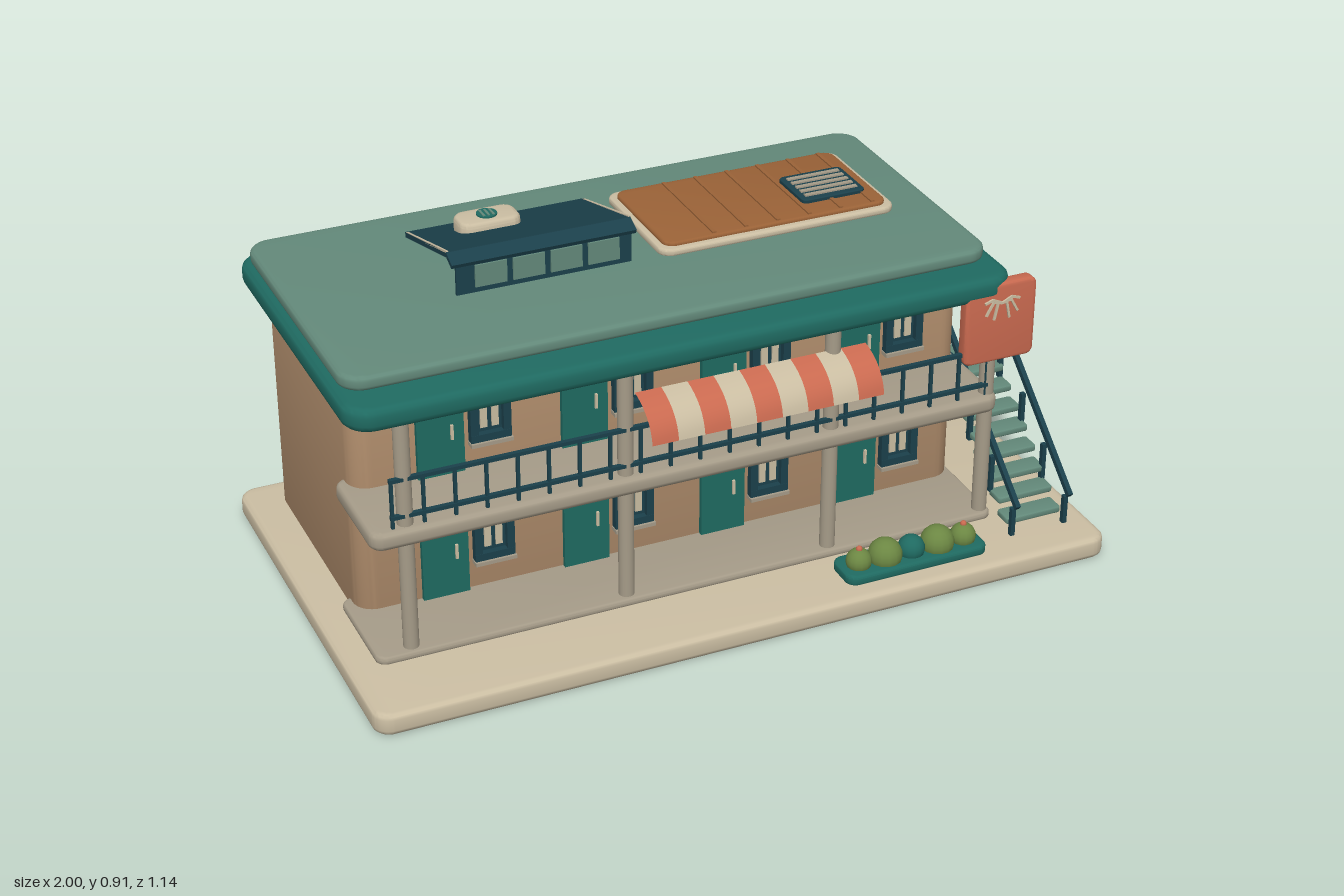
import * as THREE from 'three';
import { toCreasedNormals } from 'three/addons/utils/BufferGeometryUtils.js';

const mat = (name, color, side = THREE.FrontSide) => {
  const m = new THREE.MeshStandardMaterial({ color, side });
  m.name = name;
  return m;
};

export function createModel() {
  const root = new THREE.Group();
  root.name = 'motel';
  const cream = mat('cream', 0xcabda2, THREE.DoubleSide);
  const wall = mat('tan wall', 0xb08d6c);
  const concrete = mat('concrete', 0xa59b88);
  const sage = mat('sage', 0x63897a);
  const teal = mat('teal', 0x1f6a61);
  const navy = mat('navy', 0x1b404b);
  const coral = mat('coral', 0xca6a50, THREE.DoubleSide);
  const wood = mat('wood', 0x9a6237);
  const leaf = mat('leaf', 0x6c8743);

  const add = (name, geo, m, x = 0, y = 0, z = 0, parent = root) => {
    const mesh = new THREE.Mesh(geo, m);
    mesh.name = name;
    mesh.position.set(x, y, z);
    parent.add(mesh);
    return mesh;
  };
  const box = (name, m, x0, x1, y0, y1, z0, z1) =>
    add(name, new THREE.BoxGeometry(x1 - x0, y1 - y0, z1 - z0), m, (x0 + x1) / 2, (y0 + y1) / 2, (z0 + z1) / 2);

  // Rounded rectangle with softened rims, extruded along +z
  const roundedGeo = (w, d, h, r, b) => {
    const W = w / 2 - b, D = d / 2 - b, s = new THREE.Shape();
    s.absarc(W - r, D - r, r, 0, Math.PI / 2);
    s.absarc(-W + r, D - r, r, Math.PI / 2, Math.PI);
    s.absarc(-W + r, -D + r, r, Math.PI, Math.PI * 1.5);
    s.absarc(W - r, -D + r, r, Math.PI * 1.5, Math.PI * 2);
    s.closePath();
    const g = new THREE.ExtrudeGeometry(s, { depth: h - 2 * b, bevelThickness: b, bevelSize: b, bevelSegments: 3, curveSegments: 6 });
    g.translate(0, 0, b);
    return toCreasedNormals(g, 0.6);
  };
  const slab = (name, m, x0, x1, y0, y1, z0, z1, r, b) =>
    add(name, roundedGeo(x1 - x0, z1 - z0, y1 - y0, r, b).rotateX(-Math.PI / 2), m, (x0 + x1) / 2, y0, (z0 + z1) / 2);

  // Straight bar from point a to point b
  const bar = (name, m, a, b, w, t) => {
    const A = new THREE.Vector3(...a), B = new THREE.Vector3(...b);
    const mesh = add(name, new THREE.BoxGeometry(w, t, A.distanceTo(B)), m);
    mesh.position.copy(A).lerp(B, 0.5);
    mesh.lookAt(B);
    return mesh;
  };

  // Main masses
  slab('groundSlab', cream, -1, 1, 0, 0.06, -0.57, 0.57, 0.03, 0.015);
  slab('walls', wall, -0.9, 0.765, 0.055, 0.72, -0.515, 0.15, 0.05, 0.005);
  slab('porchFloor', concrete, -0.925, 0.77, 0.055, 0.078, 0.07, 0.365, 0.02, 0.008);
  slab('balconyFloor', concrete, -0.925, 0.77, 0.38, 0.428, 0.07, 0.368, 0.02, 0.015);
  slab('roofFascia', teal, -0.962, 0.803, 0.703, 0.765, -0.547, 0.363, 0.05, 0.02);
  slab('roofTop', sage, -0.94, 0.78, 0.762, 0.8, -0.532, 0.265, 0.05, 0.012);

  // Posts
  for (const x of [-0.83, -0.26, 0.3, 0.745])
    add('porchPost', new THREE.CylinderGeometry(0.02, 0.02, 0.64, 16), concrete, x, 0.385, 0.333);

  // Balcony railing
  for (const y of [0.457, 0.558]) box('balconyRail', navy, -0.87, 0.745, y - 0.005, y + 0.005, 0.34, 0.352);
  for (let i = 0; i <= 20; i++) {
    const x = -0.865 + i * 0.08;
    box('baluster', navy, x - 0.004, x + 0.004, 0.428, 0.556, 0.341, 0.35);
  }

  // Rooms: door, lamp and window on both floors
  for (const y of [0.078, 0.42]) for (let i = 0; i < 4; i++) {
    const x = -0.735 + i * 0.379, c = x + 0.19;
    box('door', teal, x, x + 0.122, y, y + 0.257, 0.145, 0.163);
    box('doorHandle', cream, x + 0.086, x + 0.093, y + 0.105, y + 0.145, 0.16, 0.17);
    box('doorLamp', cream, x + 0.1, x + 0.125, y + 0.257, y + 0.27, 0.145, 0.175);
    const w = y + 0.15;
    for (const s of [-1, 1]) {
      box('windowJamb', navy, c + s * 0.043 - 0.01, c + s * 0.043 + 0.01, w - 0.067, w + 0.067, 0.145, 0.17);
      box('windowHead', navy, c - 0.053, c + 0.053, w + s * 0.058 - 0.01, w + s * 0.058 + 0.01, 0.145, 0.171);
      box('windowPane', cream, c + s * 0.015 - 0.009, c + s * 0.015 + 0.009, w - 0.036, w + 0.036, 0.15, 0.159);
    }
    box('windowGlass', navy, c - 0.04, c + 0.04, w - 0.055, w + 0.055, 0.145, 0.154);
    box('windowSill', concrete, c - 0.055, c + 0.055, w - 0.078, w - 0.068, 0.145, 0.178);
  }

  // Striped awning, bent along a curve
  const curve = new THREE.QuadraticBezierCurve(new THREE.Vector2(0.335, 0.648), new THREE.Vector2(0.43, 0.63), new THREE.Vector2(0.442, 0.555));
  const stripeW = 0.625 / 9;
  for (let i = 0; i < 9; i++) {
    const g = new THREE.PlaneGeometry(stripeW, 1, 1, 8), p = g.attributes.position;
    for (let k = 0; k < p.count; k++) {
      const q = curve.getPoint(0.5 - p.getY(k));
      p.setXYZ(k, p.getX(k), q.y, q.x);
    }
    g.computeVertexNormals();
    add('awningStripe', g, i % 2 ? cream : coral, -0.235 + (i + 0.5) * stripeW);
  }

  // Hanging sign with a palm motif
  add('signBoard', roundedGeo(0.2, 0.22, 0.037, 0.012, 0.008), coral, 0.76, 0.638, 0.325);
  for (const s of [-1, 1]) for (const [x, y] of [[0.045, -0.03], [0.05, 0.005], [0.022, -0.045]]) {
    const mid = [0.76 + s * x * 0.55, 0.695 + y * 0.2 + 0.012, 0.364];
    bar('palmFrond', cream, [0.76, 0.695, 0.364], mid, 0.006, 0.006);
    bar('palmFrond', cream, mid, [0.76 + s * x, 0.695 + y, 0.364], 0.006, 0.006);
  }

  // Outside stair
  for (let i = 0; i < 9; i++) {
    const z = 0.412 - i * 0.0465, y = 0.086 + i * 0.0368;
    slab('stairTread', sage, 0.77, 0.93, y - 0.009, y + 0.009, z - 0.028, z + 0.028, 0.004, 0.004);
  }
  for (const x of [0.772, 0.927]) {
    bar('stairRail', navy, [x, 0.152, 0.483], [x, 0.535, 0.026], 0.013, 0.016);
    bar('stairRailTop', navy, [x, 0.535, 0.03], [x, 0.535, -0.115], 0.013, 0.014);
    for (const [z, y0, y1] of [[0.46, 0.055, 0.14], [0.34, 0.127, 0.232], [0.22, 0.218, 0.322], [0.097, 0.31, 0.415]])
      box('stairPost', navy, x - 0.006, x + 0.006, y0, y1, z - 0.007, z + 0.007);
  }

  // Planter with bushes and flowers
  slab('planter', teal, 0.275, 0.675, 0.055, 0.085, 0.403, 0.515, 0.02, 0.008);
  [[0.325, 0.034], [0.4, 0.045], [0.475, 0.036], [0.55, 0.045], [0.625, 0.034]].forEach(([x, r], i) => {
    add('bush', new THREE.SphereGeometry(r, 14, 10), i === 2 ? teal : leaf, x, 0.098, 0.463);
    if (i % 4 === 0) add('flower', new THREE.SphereGeometry(0.009, 8, 6), coral, x, 0.098 + r, 0.463);
  });

  // Roof skylight: sloping lid over a glazed front
  bar('skylightLid', navy, [-0.315, 0.815, -0.378], [-0.315, 0.9, -0.068], 0.49, 0.014);
  bar('skylightEave', navy, [-0.315, 0.9, -0.072], [-0.315, 0.882, -0.033], 0.49, 0.012);
  box('skylightFront', navy, -0.548, -0.082, 0.8, 0.885, -0.045, -0.037);
  for (let i = 0; i < 4; i++) {
    const x = -0.458 + i * 0.1;
    box('skylightPane', sage, x - 0.042, x + 0.042, 0.815, 0.875, -0.038, -0.032);
  }
  for (const x of [-0.557, -0.073])
    bar('skylightTrim', cream, [x, 0.823, -0.37], [x, 0.907, -0.07], 0.006, 0.005);

  // Roof vent
  slab('ventBox', cream, -0.46, -0.296, 0.82, 0.885, -0.318, -0.224, 0.02, 0.012);
  add('ventFan', new THREE.CylinderGeometry(0.027, 0.027, 0.006, 20), teal, -0.378, 0.886, -0.272);
  for (let i = -1; i <= 1; i++)
    box('ventSlat', sage, -0.381 + i * 0.013, -0.375 + i * 0.013, 0.888, 0.891, -0.29, -0.254);

  // Roof deck with planks and grate
  slab('deckFrame', cream, -0.006, 0.657, 0.798, 0.818, -0.39, -0.018, 0.03, 0.006);
  slab('deckBoards', wood, 0.012, 0.64, 0.81, 0.828, -0.372, -0.036, 0.025, 0.005);
  for (let i = 0; i < 6; i++) {
    const x = 0.15 + i * 0.09;
    box('deckSeam', wood, x - 0.005, x + 0.005, 0.826, 0.832, -0.365, -0.045);
  }
  slab('roofGrate', navy, 0.43, 0.61, 0.825, 0.838, -0.257, -0.103, 0.012, 0.003);
  for (let i = 0; i < 5; i++) {
    const z = -0.232 + i * 0.026;
    box('grateSlat', concrete, 0.445, 0.595, 0.836, 0.842, z - 0.006, z + 0.006);
  }
  return root;
}
